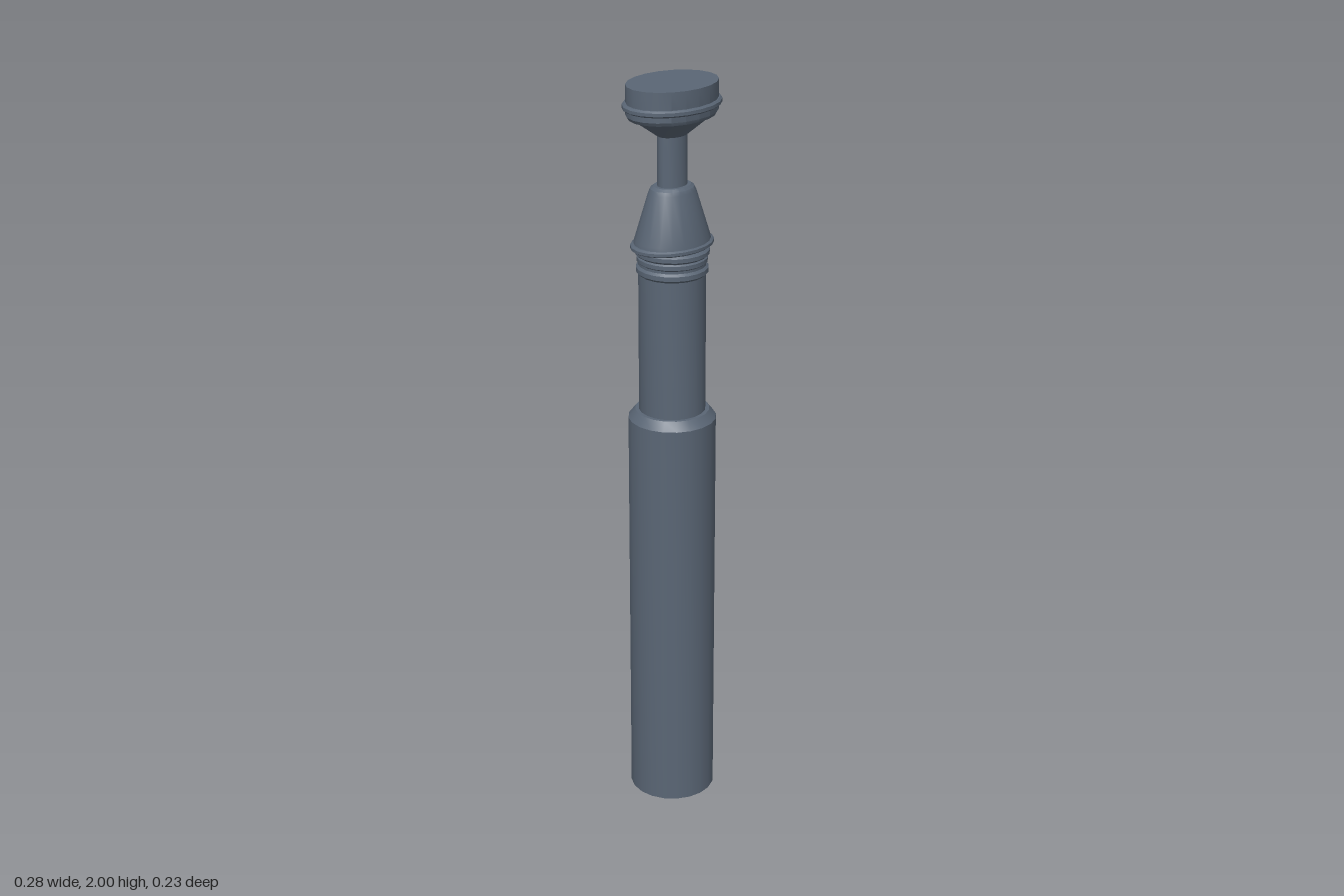
import * as THREE from 'three';
import { toCreasedNormals } from 'three/addons/utils/BufferGeometryUtils.js';

const material = new THREE.MeshStandardMaterial({ color: 0x5a6675 });

// Turned part from a bottom-to-top [radius, height] profile, closed at both ends;
// depth squashes the circle into an oval.
function turned(name, profile, depth = 1, segments = 20) {
  const points = [[0, profile[0][1]], ...profile, [0, profile[profile.length - 1][1]]]
    .map(([r, y]) => new THREE.Vector2(r, y));
  const geometry = new THREE.LatheGeometry(points, segments);
  geometry.scale(1, 1, depth);
  const mesh = new THREE.Mesh(toCreasedNormals(geometry, 0.5), material);
  mesh.name = name;
  return mesh;
}

// Thin ring with bevelled rims
function ring(name, radius, y0, y1, depth = 1) {
  const b = (y1 - y0) * 0.25;
  return turned(name, [
    [radius - 0.006, y0], [radius, y0 + b], [radius, y1 - b], [radius - 0.006, y1],
  ], depth);
}

export function createModel() {
  const model = new THREE.Group();
  model.name = 'telescopicHandle';
  const oval = 0.765;

  model.add(
    // Round telescoping tubes
    turned('outerTube', [[0.115, 0], [0.115, 1.11], [0.097, 1.133]]),
    turned('innerTube', [[0.087, 1.12], [0.087, 1.57]]),

    // Stacked collar rings
    ring('lowerCollarRing', 0.093, 1.506, 1.53),
    ring('middleCollarRing', 0.091, 1.535, 1.556),
    ring('upperCollarRing', 0.096, 1.556, 1.577),

    // Oval flange and tapering neck
    ring('neckFlange', 0.118, 1.577, 1.592, oval),
    turned('taperedNeck', [
      [0.108, 1.585], [0.106, 1.6], [0.066, 1.722], [0.061, 1.732], [0.052, 1.738],
    ], 0.8),
    turned('stem', [[0.042, 1.72], [0.042, 1.885]], 0.78),

    // Oval head with a flared underside and a rim
    turned('headCup', [[0.042, 1.866], [0.112, 1.915], [0.122, 1.92]], oval),
    turned('headBody', [[0.122, 1.915], [0.128, 1.924], [0.128, 2]], oval),
    ring('headRim', 0.138, 1.938, 1.955, oval),
  );
  return model;
}
